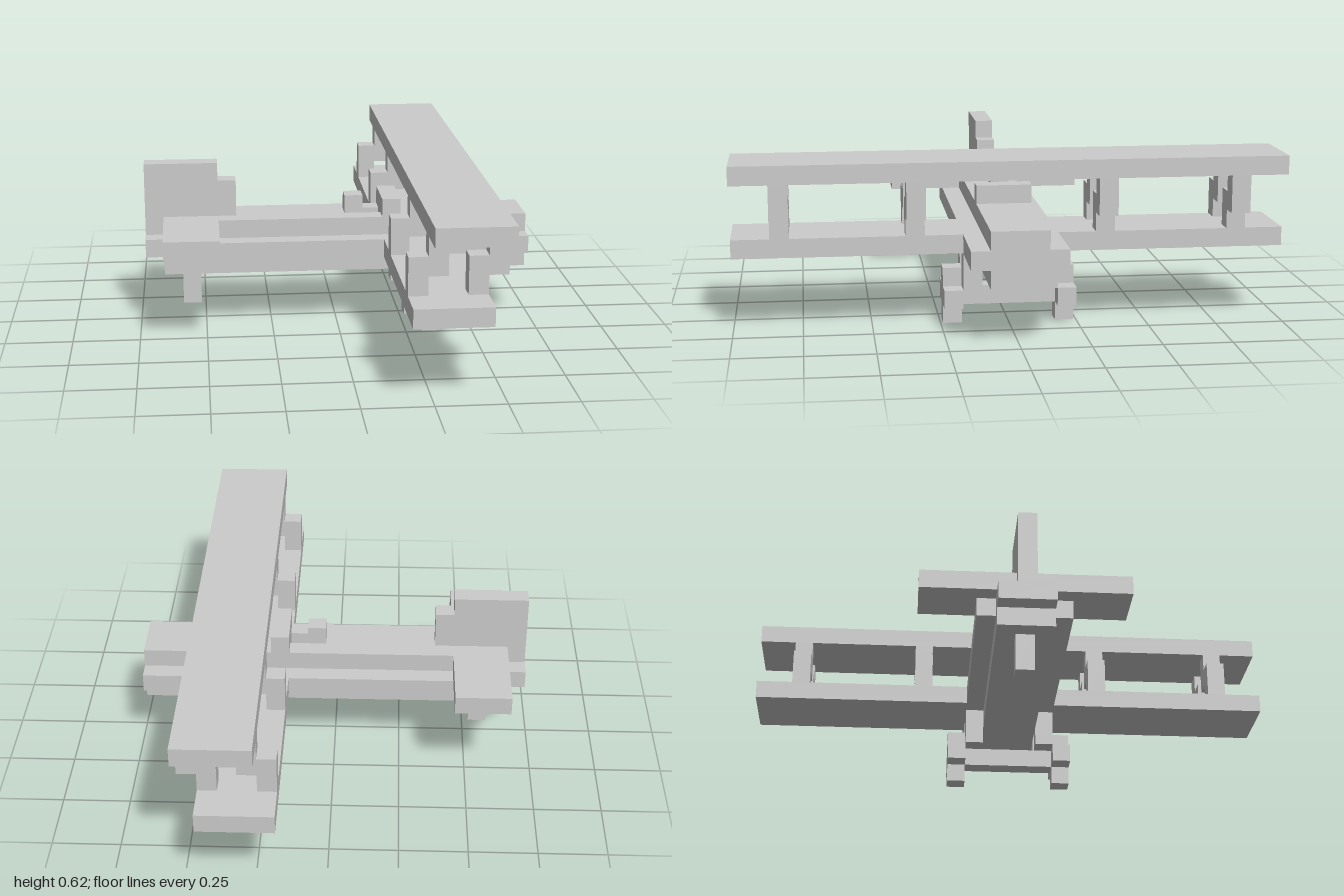
import * as THREE from 'three';

// Blocky biplane on a cubic grid: 21 x 9 x 29 cells, nose towards +x.
const U = 2 / 29;
const material = new THREE.MeshStandardMaterial({ color: 0xcccccc, flatShading: true });

export function createModel() {
  const model = new THREE.Group();
  model.name = 'biplane';

  // Box between grid planes; x is counted from the tail, z from the centre line.
  const block = (name, [x0, x1], [y0, y1], [z0, z1]) => {
    const mesh = new THREE.Mesh(
      new THREE.BoxGeometry((x1 - x0) * U, (y1 - y0) * U, (z1 - z0) * U), material);
    mesh.position.set(((x0 + x1) / 2 - 10.5) * U, (y0 + y1) / 2 * U, (z0 + z1) / 2 * U);
    mesh.name = name;
    model.add(mesh);
  };
  const centred = (name, x, y, half) => block(name, x, y, [-half, half]);
  const mirrored = (name, x, y, [z0, z1]) => {
    block(name + 'Left', x, y, [z0, z1]);
    block(name + 'Right', x, y, [-z1, -z0]);
  };

  // Fuselage: narrow keel, wide middle, narrow deck with an open cockpit
  centred('keel', [1, 21], [3, 4], 1.5);
  centred('fuselageMiddle', [2, 21], [4, 5], 2.5);
  centred('tailCone', [0, 2], [4, 5], 1.5);
  centred('rearDeck', [1, 12], [5, 6], 1.5);
  mirrored('cockpitSide', [12, 13], [5, 6], [0.5, 1.5]);
  centred('frontDeck', [13, 21], [5, 6], 1.5);
  centred('headrest', [11, 12], [6, 7], 0.5);
  centred('windscreen', [13, 14], [6, 7], 1.5);

  // Tail
  centred('tailplane', [1, 4], [5, 6], 5.5);
  centred('fin', [0, 4], [5, 9], 0.5);
  centred('finFront', [4, 5], [6, 8], 0.5);
  centred('tailSkid', [2, 3], [1, 3], 0.5);

  // Staggered wings
  centred('lowerWing', [13, 17], [4, 5], 14.5);
  centred('upperWing', [14, 18], [8, 9], 14.5);

  // Stepped struts leaning forward between the wings
  for (const z of [4.5, 11.5]) {
    for (const x of [13, 16]) {
      mirrored('strutLower', [x, x + 1], [5, 7], [z, z + 1]);
      mirrored('strutUpper', [x + 1, x + 2], [6, 8], [z, z + 1]);
    }
  }

  // Landing gear: paired legs, axle and cross-shaped wheels
  for (const x of [14, 16]) mirrored('gearLeg', [x, x + 1], [2, 4], [1.5, 2.5]);
  centred('axle', [15, 16], [1, 2], 2.5);
  mirrored('wheelUpright', [15, 16], [0, 3], [2.5, 3.5]);
  mirrored('wheelCrossbar', [14, 17], [1, 2], [2.5, 3.5]);

  return model;
}
